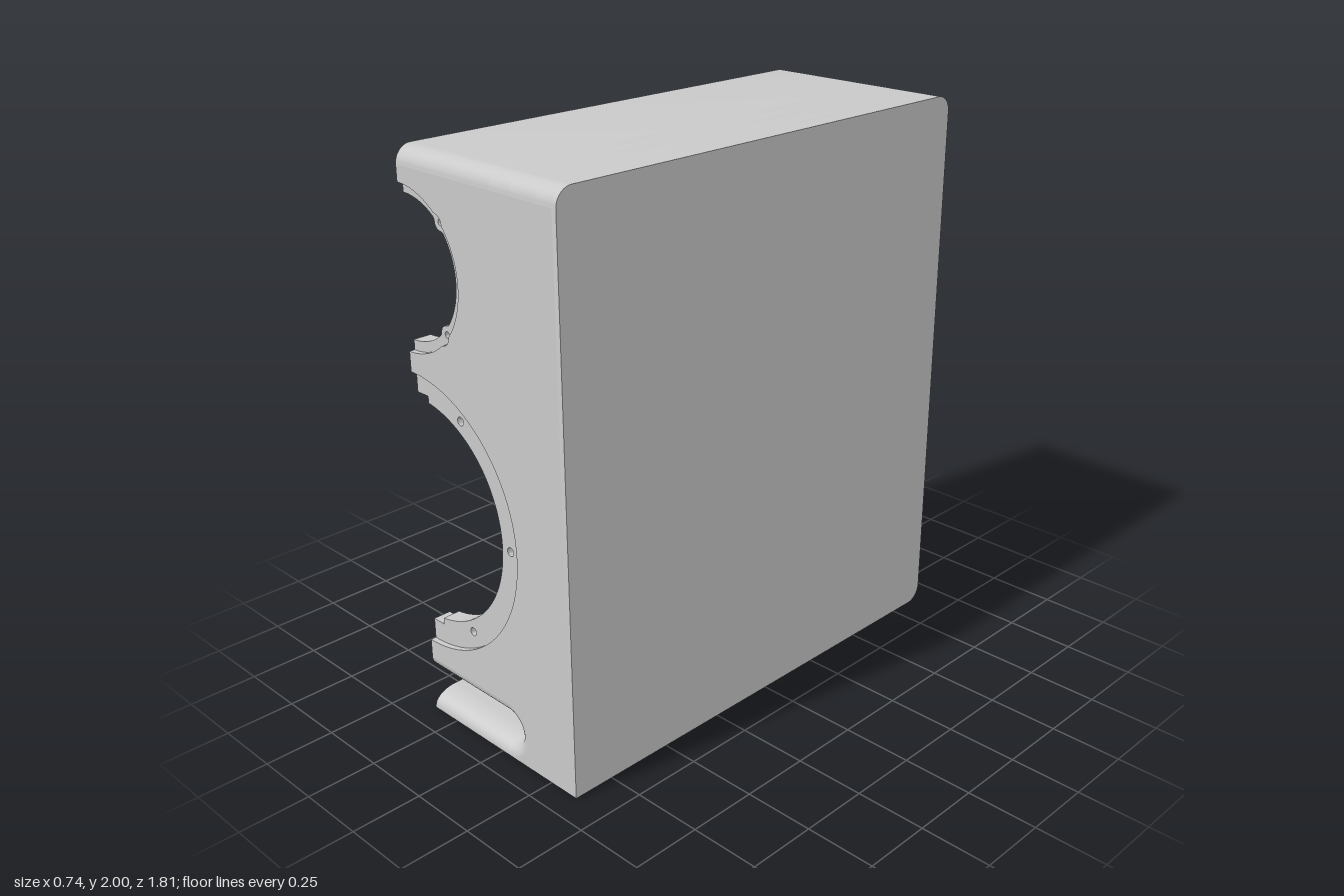
import * as THREE from 'three';
import { toCreasedNormals } from 'three/addons/utils/BufferGeometryUtils.js';

// Polygon from [a, b, radius] corners; a radius rounds that corner
function poly(corners) {
  const out = [], n = corners.length;
  corners.forEach(([a, b, r], i) => {
    const c = new THREE.Vector2(a, b);
    if (!r) { out.push(c); return; }
    const toward = (q) => new THREE.Vector2(q[0], q[1]).sub(c).normalize().multiplyScalar(r).add(c);
    const p = toward(corners[(i + n - 1) % n]), q = toward(corners[(i + 1) % n]);
    // cubic handles give a near-circular fillet
    const k = 0.552;
    out.push(...new THREE.CubicBezierCurve(p, p.clone().lerp(c, k), q.clone().lerp(c, k), q).getPoints(10));
  });
  return out;
}

// Half-circle outline, top to bottom, around the cut plane
function halfRound(cy, radiusAt, a0 = Math.PI / 2) {
  const pts = [];
  for (let i = 0; i <= 96; i++) {
    const a = a0 - (2 * a0 * i) / 96, r = radiusAt(a);
    pts.push([-0.37 + r * Math.cos(a), cy + r * Math.sin(a)]);
  }
  return pts;
}

function circleHole(x, y, r) {
  return new THREE.Path().absarc(x, y, r, 0, Math.PI * 2, true);
}

export function createModel() {
  const group = new THREE.Group();
  const grey = new THREE.MeshStandardMaterial({ color: 0xc9c9c9, side: THREE.DoubleSide });
  grey.name = 'light grey';

  const add = (name, geometry) => {
    const mesh = new THREE.Mesh(geometry, grey);
    mesh.name = name;
    group.add(mesh);
  };
  const extrude = (shape, depth) =>
    new THREE.ExtrudeGeometry(shape, { depth, bevelEnabled: false, curveSegments: 16 });

  // Profile in (z, y), running from x0 to x1
  const across = (name, corners, x0, x1, grooves = []) => {
    const shape = new THREE.Shape(poly(corners));
    grooves.forEach((g) => shape.holes.push(new THREE.Path(poly(g))));
    const geo = extrude(shape, x1 - x0).rotateY(-Math.PI / 2).translate(x1, 0, 0);
    add(name, toCreasedNormals(geo, 0.5));
  };
  // Profile in (x, y), running from z0 to z1
  const along = (name, points, holes, z0, z1) => {
    const shape = new THREE.Shape(points.map(([x, y]) => new THREE.Vector2(x, y)));
    shape.holes.push(...holes);
    add(name, toCreasedNormals(extrude(shape, z1 - z0).translate(0, 0, z0), 0.5));
  };

  const F = 0.905, B = -0.905, R = 0.06, CUT = -0.37, LIP = -0.357, INNER = 0.82;
  const SKIN = 0.352, POCKET = 0.168;
  const backAndTop = [[B, 2, R], [F, 2, R]];

  // Closed side skin
  across('sideSkin', [[F, 0], [B, 0, R], ...backAndTop], SKIN, 0.37);

  // Pocketed layers next to the skin: pockets in the bottom and back
  const pockets = [[F, 0]];
  for (let i = 0; i < 11; i++) {
    const z = 0.885 - i * 0.154;
    pockets.push([z, 0], [z, 0.17], [z - 0.11, 0.17], [z - 0.11, 0]);
  }
  pockets.push([B, 0, R]);
  for (let i = 0; i < 9; i++) {
    const y = 0.09 + i * 0.154, z = B + (i ? 0.28 : 0.1);
    pockets.push([B, y], [z, y], [z, y + 0.11], [B, y + 0.11]);
  }
  pockets.push(...backAndTop, [F, 1.94], [INNER, 1.94]);
  const cavity = [[INNER, 1.93], [-0.55, 1.93, 0.04], [-0.55, 0.2, 0.04], [INNER, 0.2]];
  const toe = [[INNER, 0.25], [F, 0.25]];
  across('pocketedSide', [...pockets, ...toe], 0.28, SKIN);
  across('pocketedShell', [...pockets, ...cavity, ...toe], POCKET, 0.28);

  // Plain shell beside the duct
  across('ductSide', [[INNER, 0], [B, 0, R], ...backAndTop, [F, 1.94], [INNER, 1.94], ...cavity], 0.08, POCKET);

  // Duct walls, with a sealing groove in the cut face
  const grooved = (name, corners, groove) => {
    across(name, corners, LIP, 0.08);
    across(name + 'Rim', corners, CUT, LIP, [groove]);
  };
  grooved('outerShell',
    [[INNER, 0], [B, 0, R], ...backAndTop, [F, 1.94], [INNER, 1.94], [INNER, 1.93],
      [-0.61, 1.93], [-0.61, 1.82], [-0.62, 1.82], [-0.62, 1.93, 0.1],
      [-0.85, 1.93, 0.11], [-0.85, 0.06, 0.1], [INNER, 0.06]],
    [[0.8, 0.022], [-0.885, 0.022, 0.06], [-0.885, 1.975, 0.05], [0.8, 1.975],
      [0.8, 1.958], [-0.868, 1.958, 0.05], [-0.868, 0.038, 0.06], [0.8, 0.038]]);
  grooved('ductDivider',
    [[INNER, 0.15], [-0.79, 0.15, 0.08], [-0.79, 1.85, 0.035], [-0.72, 1.85, 0.034],
      [-0.72, 0.2, 0.1], [INNER, 0.2]],
    [[0.8, 0.167], [-0.765, 0.167, 0.08], [-0.765, 1.82], [-0.745, 1.82],
      [-0.745, 0.183, 0.08], [0.8, 0.183]]);
  grooved('innerWall',
    [[-0.62, 1.93], [-0.62, 0.28, 0.08], [-0.04, 0.28, 0.06], [0.05, 0.36, 0.04],
      [0.13, 0.365], [0.13, 0.382], [0.05, 0.395, 0.06], [0.02, 0.46], [-0.07, 0.46, 0.03],
      [-0.1, 0.33, 0.05], [-0.55, 0.33, 0.05], [-0.55, 1.93]],
    [[-0.594, 1.9], [-0.594, 0.297, 0.07], [-0.08, 0.297], [-0.08, 0.313],
      [-0.577, 0.313, 0.07], [-0.577, 1.9]]);

  // Upper chamber: a wide quarter-round wall
  const chamber = [[INNER, 1.27], [-0.04, 1.27, 0.58], [-0.04, 1.935],
    [0.01, 1.935], [0.01, 1.315, 0.55], [INNER, 1.315]];
  across('upperChamberWall', chamber, LIP, 0.28);
  across('upperChamberRim', chamber, CUT, LIP,
    [[[0.8, 1.285], [-0.023, 1.285, 0.57], [-0.023, 1.9],
      [-0.007, 1.9], [-0.007, 1.3, 0.56], [0.8, 1.3]]]);

  // Upper opening with two lugs at 45 degrees
  const lug = (R0, sign) => (a) => {
    const d = Math.abs(a) - Math.PI / 4, s = 0.03 ** 2 - (0.255 * Math.sin(d)) ** 2;
    if (s < 0) return R0;
    const hit = 0.255 * Math.cos(d) + sign * Math.sqrt(s);
    return sign > 0 ? Math.max(R0, hit) : Math.min(R0, hit);
  };
  // Flared slot outline at the foot of the front
  const slotY = 0.105, slotX = 0.035;
  const slot = (h) => {
    const pts = [[CUT, slotY + h]];
    for (let i = 0; i <= 20; i++) {
      const a = Math.PI / 2 - (Math.PI * i) / 20;
      pts.push([slotX + h * Math.cos(a), slotY + h * Math.sin(a)]);
    }
    return [...pts, [CUT, slotY - h]];
  };
  const baffle = (upper, lower) => [[CUT, 1.94], ...upper, ...lower, ...slot(0.1),
    [CUT, 0], [POCKET, 0], [POCKET, 0.25], [SKIN, 0.25], [SKIN, 1.94]];

  // Front panel: recess layer, then mounting layer with screw holes
  const SEAT = 0.885;
  along('frontPanel', baffle(halfRound(1.61, lug(0.275, 1)), halfRound(0.77, () => 0.495)), [], SEAT, F);
  const screws = [-1, 0, 1].map((i) => {
    const a = (i * Math.PI) / 3;
    return circleHole(CUT + 0.44 * Math.cos(a), 0.77 + 0.44 * Math.sin(a), 0.015);
  });
  const lugYs = [1.79, 1.43];
  lugYs.forEach((y) => screws.push(circleHole(-0.19, y, 0.011)));
  const lowerHole = [[CUT, 1.19], [-0.315, 1.19], ...halfRound(0.77, () => 0.4, Math.acos(0.055 / 0.4)),
    [-0.315, 0.35], [CUT, 0.35]];
  along('mountingRings', baffle(halfRound(1.61, lug(0.24, -1)), lowerHole), screws, INNER, SEAT);

  // Screw bosses behind the upper opening
  lugYs.forEach((y) => {
    const boss = new THREE.Shape().absarc(-0.19, y, 0.03, 0, Math.PI * 2);
    boss.holes.push(circleHole(-0.19, y, 0.011));
    add('screwBoss', toCreasedNormals(extrude(boss, 0.05).translate(0, 0, 0.77), 0.5));
  });

  // Flare of the slot: cross-sections widening toward the front
  const count = slot(0.1).length, steps = 10;
  const flare = new THREE.PlaneGeometry(1, 1, count - 1, steps);
  for (let j = 0; j <= steps; j++) {
    const t = (j / steps) * Math.PI / 2;
    slot(0.045 + 0.055 * (1 - Math.cos(t))).forEach(([x, y], i) =>
      flare.attributes.position.setXYZ(j * count + i, x, y, INNER + (F - INNER) * Math.sin(t)));
  }
  flare.computeVertexNormals();
  add('slotFlare', flare);

  return group;
}
